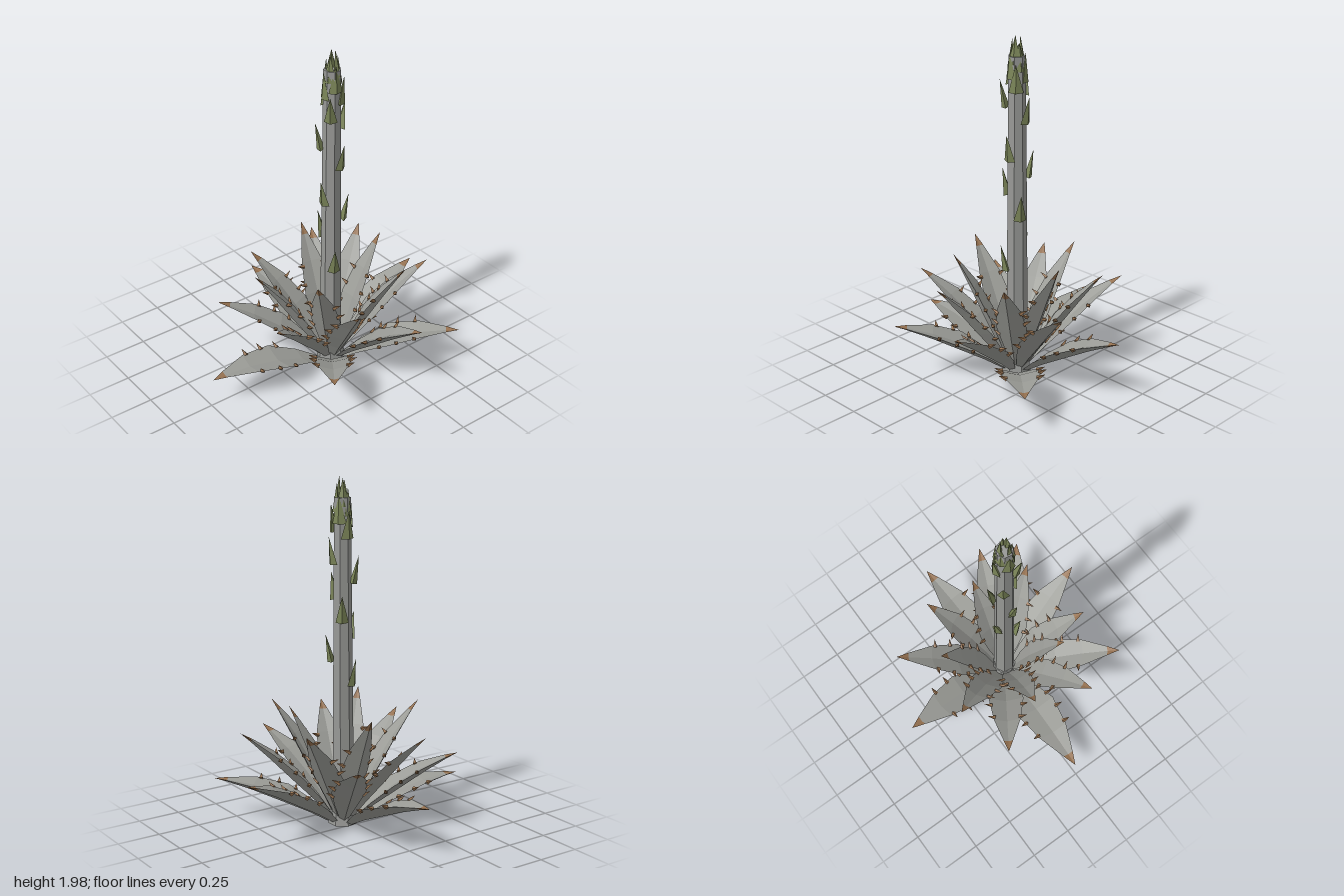
import * as THREE from 'three';

const material = (name, color) => {
  const m = new THREE.MeshStandardMaterial({ color, flatShading: true });
  m.name = name;
  return m;
};

// centre of the rosette, slightly off the origin
const CX = 0.05, CZ = -0.06;
const UP = new THREE.Vector3(0, 1, 0);

// leaf outline: [position along leaf, half width]
const OUTLINE = [[0, 0.035], [0.18, 0.08], [0.42, 0.122], [0.68, 0.092], [0.9, 0.032], [1, 0.001]];

// leaf tips: [x, y, z]
const TIPS = [
  [0, 0.18, 0.73], [0.55, 0.25, -0.61], [-0.67, 0.3, 0], [0.61, 0.35, 0.35],
  [-0.04, 0.39, -0.74], [-0.31, 0.43, 0.48], [0.67, 0.48, -0.21], [-0.52, 0.52, -0.35],
  [0.28, 0.56, 0.49], [0.26, 0.59, -0.6], [-0.42, 0.6, 0.17], [0.51, 0.62, 0.1],
  [-0.21, 0.66, -0.47], [-0.06, 0.7, 0.39], [0.4, 0.71, -0.31], [-0.34, 0.725, -0.14],
  [0.28, 0.73, 0.21], [0.07, 0.76, -0.4],
];

function halfWidth(t) {
  const i = Math.max(1, OUTLINE.findIndex(p => p[0] >= t));
  const [t0, w0] = OUTLINE[i - 1], [t1, w1] = OUTLINE[i];
  return w0 + (w1 - w0) * (t - t0) / (t1 - t0);
}

// keeled, channelled leaf with a brown tip and marginal teeth
function makeLeaf(tipXYZ, leafMat, spineMat) {
  const leaf = new THREE.Group();
  leaf.name = 'leaf';
  const tip = new THREE.Vector3(...tipXYZ);
  const steep = THREE.MathUtils.clamp((tip.y - 0.18) / 0.58, 0, 1);
  const out = new THREE.Vector3(tip.x - CX, 0, tip.z - CZ).normalize();
  const base = new THREE.Vector3(CX, 0.02 + 0.07 * steep, CZ).addScaledVector(out, 0.08 - 0.02 * steep);
  const axis = tip.clone().sub(base).normalize();
  const side = axis.clone().cross(UP).normalize();
  const normal = side.clone().cross(axis);
  const bow = 0.045 - 0.025 * steep;
  const width = 1 - 0.32 * steep;

  // a point on the leaf: along, across and above its bowed spine
  const at = (t, s, n) => base.clone().lerp(tip, t)
    .addScaledVector(normal, bow * 4 * t * (1 - t) + n)
    .addScaledVector(side, s);

  const pos = [], index = [];
  for (const [t, hw] of OUTLINE) {
    const w = hw * width;
    for (const p of [at(t, w, w * 0.3), at(t, 0, w * 0.08), at(t, -w, w * 0.3), at(t, 0, -w * 0.28)])
      pos.push(p.x, p.y, p.z);
  }
  index.push(0, 1, 2, 0, 2, 3);
  for (let i = 0; i < OUTLINE.length - 1; i++)
    for (let j = 0; j < 4; j++) {
      const a = i * 4 + j, b = i * 4 + (j + 1) % 4;
      index.push(a, a + 4, b + 4, a, b + 4, b);
    }
  const geo = new THREE.BufferGeometry();
  geo.setAttribute('position', new THREE.Float32BufferAttribute(pos, 3));
  geo.setIndex(index);
  geo.addGroup(0, index.length - 24, 0);
  geo.addGroup(index.length - 24, 24, 1);
  geo.computeVertexNormals();
  const blade = new THREE.Mesh(geo, [leafMat, spineMat]);
  blade.name = 'leafBlade';
  leaf.add(blade);

  // teeth on both margins
  const toothGeo = new THREE.ConeGeometry(0.014, 0.05, 4);
  for (const s of [-1, 1])
    for (const t of [0.35, 0.5, 0.65]) {
      const w = halfWidth(t) * width;
      const tooth = new THREE.Mesh(toothGeo, spineMat);
      tooth.name = 'leafTooth';
      const dir = side.clone().multiplyScalar(s).addScaledVector(normal, 0.45).addScaledVector(axis, 0.25).normalize();
      tooth.position.copy(at(t, s * w, w * 0.3)).addScaledVector(dir, 0.014);
      tooth.quaternion.setFromUnitVectors(UP, dir);
      leaf.add(tooth);
    }
  return leaf;
}

export function createModel() {
  const model = new THREE.Group();
  model.name = 'agavePlant';
  const leafMat = material('leafGrey', 0x9c9d98);
  const stalkMat = material('stalkGrey', 0x989996);
  const bractMat = material('bractOlive', 0x7b8558);
  const spineMat = material('spineBrown', 0x94704f);

  // root crown and flower stalk
  const crown = new THREE.Mesh(new THREE.CylinderGeometry(0.07, 0.085, 0.1, 7), stalkMat);
  crown.name = 'crown';
  crown.position.set(CX, 0.07, CZ);
  const stalk = new THREE.Mesh(new THREE.CylinderGeometry(0.048, 0.065, 1.83, 7), stalkMat);
  stalk.name = 'flowerStalk';
  stalk.position.set(CX, 0.965, CZ);
  stalk.rotation.y = 0.3;
  model.add(crown, stalk);

  // rosette
  const rosette = new THREE.Group();
  rosette.name = 'rosette';
  for (const t of TIPS) rosette.add(makeLeaf(t, leafMat, spineMat));
  model.add(rosette);

  // bracts spiral up the stalk and crowd into a bud at the top
  const bractGeo = new THREE.ConeGeometry(0.036, 0.155, 4).translate(0, 0.0775, 0).scale(0.6, 1, 1);
  const heights = [0.66, 0.84, 0.97, 1.09, 1.2, 1.31, 1.41, 1.52, 1.6, 1.66,
    1.69, 1.72, 1.74, 1.76, 1.78, 1.8, 1.815, 1.83, 1.84];
  heights.forEach((y, i) => {
    const bud = THREE.MathUtils.clamp((y - 1.6) / 0.24, 0, 1);
    const pivot = new THREE.Group();
    pivot.name = 'bractPivot';
    pivot.position.set(CX, y, CZ);
    pivot.rotation.y = -THREE.MathUtils.degToRad(25 + 137.5 * i);
    const bract = new THREE.Mesh(bractGeo, bractMat);
    bract.name = 'bract';
    bract.position.x = 0.064 - 0.005 * (y - 0.66) - 0.03 * bud;
    bract.rotation.z = -0.2 + 0.27 * bud;
    bract.scale.z = 1 + 0.15 * Math.sin(bud * Math.PI);
    pivot.add(bract);
    model.add(pivot);
  });
  return model;
}
